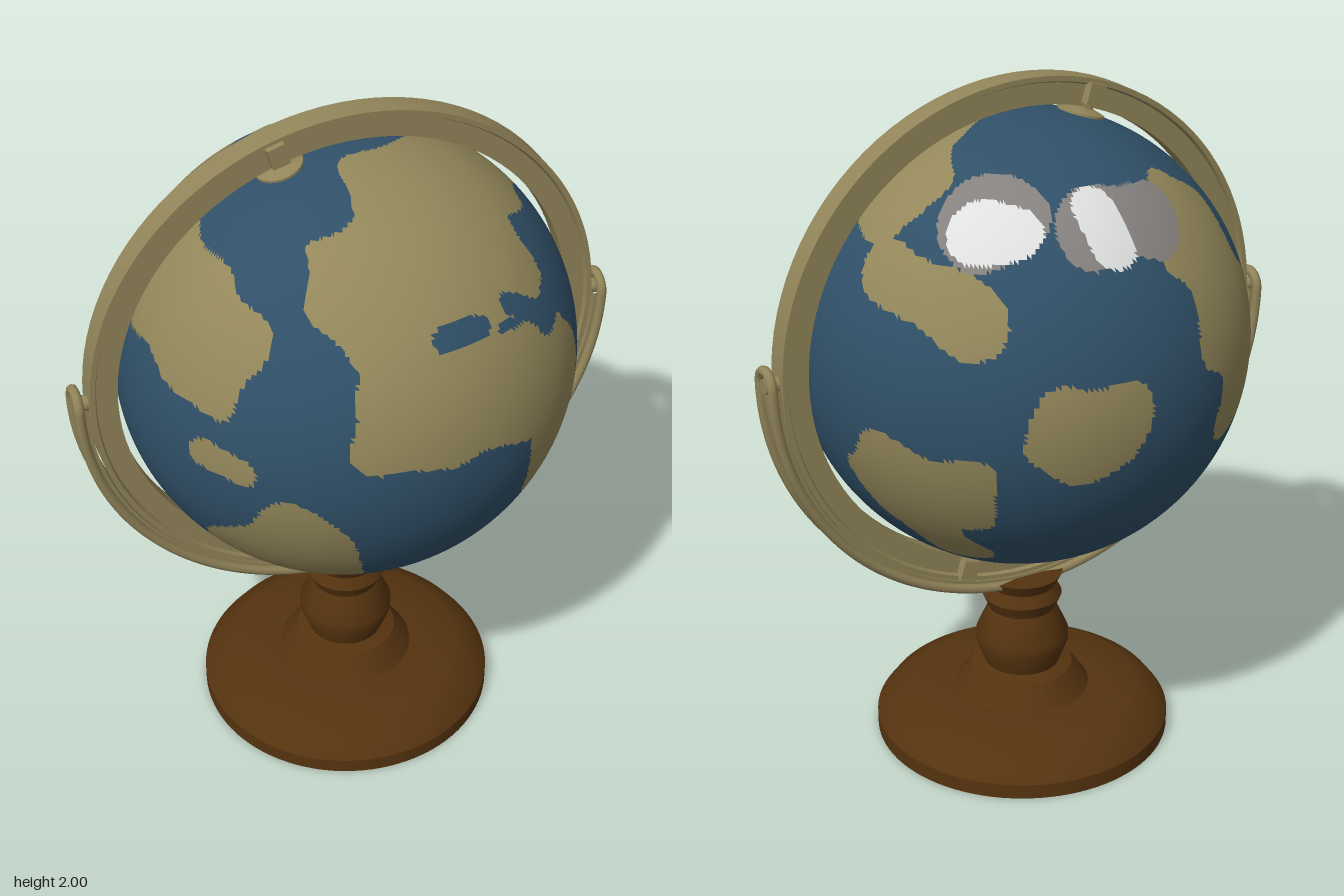
import * as THREE from 'three';
import { toCreasedNormals } from 'three/addons/utils/BufferGeometryUtils.js';

const mat = (name, color) => Object.assign(new THREE.MeshStandardMaterial({ color }), { name });
const rad = THREE.MathUtils.degToRad;
const CY = 1.258; // height of the globe's centre

// Brush stroke on the globe: colour, width in degrees, then longitude and latitude of both ends.
const SEA = 0, LAND = 1, TUNDRA = 2, ICE = 3;
const point = (lon, lat) => new THREE.Vector3().setFromSphericalCoords(1, rad(90 - lat), rad(lon));
const stroke = (colour, width, lonA, latA, lonB, latB) =>
  ({ colour, width: rad(width), line: new THREE.Line3(point(lonA, latA), point(lonB, latB)) });

// Later strokes cover earlier ones.
const strokes = [
  // great continent
  stroke(LAND, 14, -6, 17, 38, 14),
  stroke(LAND, 12, 44, 10, 42, -18),
  stroke(LAND, 18, -8, 46, 30, 46),
  stroke(LAND, 15, 25, 69, 75, 58),
  stroke(LAND, 14, 75, 58, 98, 52),
  // western lands
  stroke(LAND, 14, -58, 28, -95, 36),
  stroke(LAND, 13, -31, -20, -34, -42),
  stroke(LAND, 13, -31, -20, -48, -36),
  stroke(LAND, 4, -56, 3, -46, 1),
  // eastern lands
  stroke(LAND, 4, 60, -11, 70, -21),
  stroke(LAND, 8, 112, 33, 139, 23),
  stroke(LAND, 14, 118, -21, 131, -21),
  stroke(LAND, 9, 124, -32, 127, -44),
  stroke(LAND, 11, 163, -3, 173, -3),
  // rear continent
  stroke(LAND, 17, -146, 35, -138, -2),
  // inland seas
  stroke(SEA, 3, 6, 33, 18, 33),
  stroke(SEA, 3, 30, 34, 42, 25),
  stroke(SEA, 4, 42, 25, 54, 27),
  // snowy lands
  stroke(TUNDRA, 11, 175, 45, -165, 45),
  stroke(TUNDRA, 11, 147, 49, 136, 48),
  stroke(ICE, 6, 178, 50, 180, 39),
  stroke(ICE, 7, 150, 45, 136, 45),
];

// Colour of the top stroke covering a direction, with a gentle ripple along the coasts
function colourAt(p) {
  const ripple = 1 + 0.1 * (Math.sin(p.x * 17 + p.y * 9) + Math.sin(p.z * 16 - p.y * 13));
  const near = new THREE.Vector3();
  let colour = SEA;
  for (const s of strokes) {
    s.line.closestPointToPoint(p, true, near);
    if (near.angleTo(p) < s.width * ripple) colour = s.colour;
  }
  return colour;
}

// Globe: fine sphere with its faces sorted into one group per colour.
function globeGeometry() {
  const geo = new THREE.SphereGeometry(0.645, 288, 144);
  const pos = geo.attributes.position, idx = geo.index.array;
  const lists = [[], [], [], []], p = new THREE.Vector3(), q = new THREE.Vector3();
  for (let i = 0; i < idx.length; i += 3) {
    const face = idx.slice(i, i + 3);
    p.set(0, 0, 0);
    face.forEach((k) => p.add(q.fromBufferAttribute(pos, k)));
    lists[colourAt(p.normalize())].push(...face);
  }
  geo.setIndex(lists.flat());
  geo.clearGroups();
  let start = 0;
  lists.forEach((l, m) => { geo.addGroup(start, l.length, m); start += l.length; });
  return geo.scale(1, 1, 0.97);
}

const lathe = (pts, start = 0, len = Math.PI * 2) =>
  toCreasedNormals(new THREE.LatheGeometry(pts.map(([x, y]) => new THREE.Vector2(x, y)), 96, start, len), 0.6);

// Hoop section, mirrored from its front half and stood upright
function hoop(half, start, len) {
  const lower = half.map(([r, z]) => [r, -z]);
  return lathe([...lower, ...half.slice().reverse(), lower[0]], start, len).rotateX(Math.PI / 2);
}

// Loop of two half-circle rails at z = +gap and -gap, rounded over at the ends
class RailCurve extends THREE.Curve {
  getPoint(t, target = new THREE.Vector3()) {
    const radius = 0.776, gap = 0.043, side = t % 1 < 0.5 ? 1 : -1;
    const a = ((t * 2) % 1) * 1.1;
    if (a < 1) {
      const turn = side * (a - 0.5) * Math.PI;
      return target.set(radius * Math.sin(turn), -radius * Math.cos(turn), side * gap);
    }
    const bend = (a - 1) * 10 * Math.PI;
    return target.set(side * radius, gap * Math.sin(bend), side * gap * Math.cos(bend));
  }
}

export function createModel() {
  const model = new THREE.Group();
  const brass = mat('brass', 0x92855a), wood = mat('wood', 0x55330f), grey = mat('grey', 0x85817f);
  const paints = [mat('water', 0x305068), mat('land', 0x93875a), grey, mat('ice', 0xdde0de)];
  const add = (name, geo, material, parent = model) => {
    const m = new THREE.Mesh(geo, material);
    m.name = name;
    parent.add(m);
    return m;
  };
  const group = (name, parent) => {
    const g = new THREE.Group();
    g.name = name;
    parent.add(g);
    return g;
  };

  // Turned wooden stand with a plain underside
  add('stand', lathe([[0.44, 0], [0.44, 0.045], [0.41, 0.085], [0.34, 0.125], [0.2, 0.13], [0.15, 0.2], [0.112, 0.21],
    [0.138, 0.28], [0.138, 0.31], [0.1, 0.395], [0.118, 0.435], [0.1, 0.47], [0.12, 0.508], [0, 0.508]]), wood);
  add('underside', new THREE.CircleGeometry(0.44, 96).rotateX(Math.PI / 2), grey);

  const upper = group('globeAndRings', model);
  upper.position.y = CY;
  add('globe', globeGeometry(), paints, upper);

  // Full meridian ring with a thicker outer rim
  add('meridianRing', hoop([[0.665, 0.026], [0.725, 0.026], [0.73, 0.037], [0.745, 0.037]]), brass, upper);

  // Half-ring cradle: a flat band between two rails, pinned to the ring at both ends
  const cradle = group('cradle', upper);
  cradle.position.y = 0.01;
  add('cradleBand', hoop([[0.752, 0.042], [0.772, 0.042]], -Math.PI / 2, Math.PI), brass, cradle);
  add('cradleRails', new THREE.TubeGeometry(new RailCurve(), 400, 0.0145, 8, true), brass, cradle);
  for (const s of [-1, 1]) {
    const pin = add('cradlePivot', new THREE.CylinderGeometry(0.022, 0.022, 0.06).rotateZ(Math.PI / 2), brass, cradle);
    pin.position.x = s * 0.755;
  }

  // Tilted axle fittings at both poles
  const axle = group('axle', upper);
  axle.rotation.z = 0.29;
  for (const [name, turn] of [['upperPole', 0], ['lowerPole', Math.PI]]) {
    const pole = group(name, axle);
    pole.rotation.z = turn;
    add('poleCap', lathe([[0.066, 0.63], [0.066, 0.648], [0.03, 0.66], [0.024, 0.7]]), brass, pole);
    add('ringClip', new THREE.BoxGeometry(0.05, 0.06, 0.11), brass, pole).position.y = 0.705;
  }
  return model;
}
